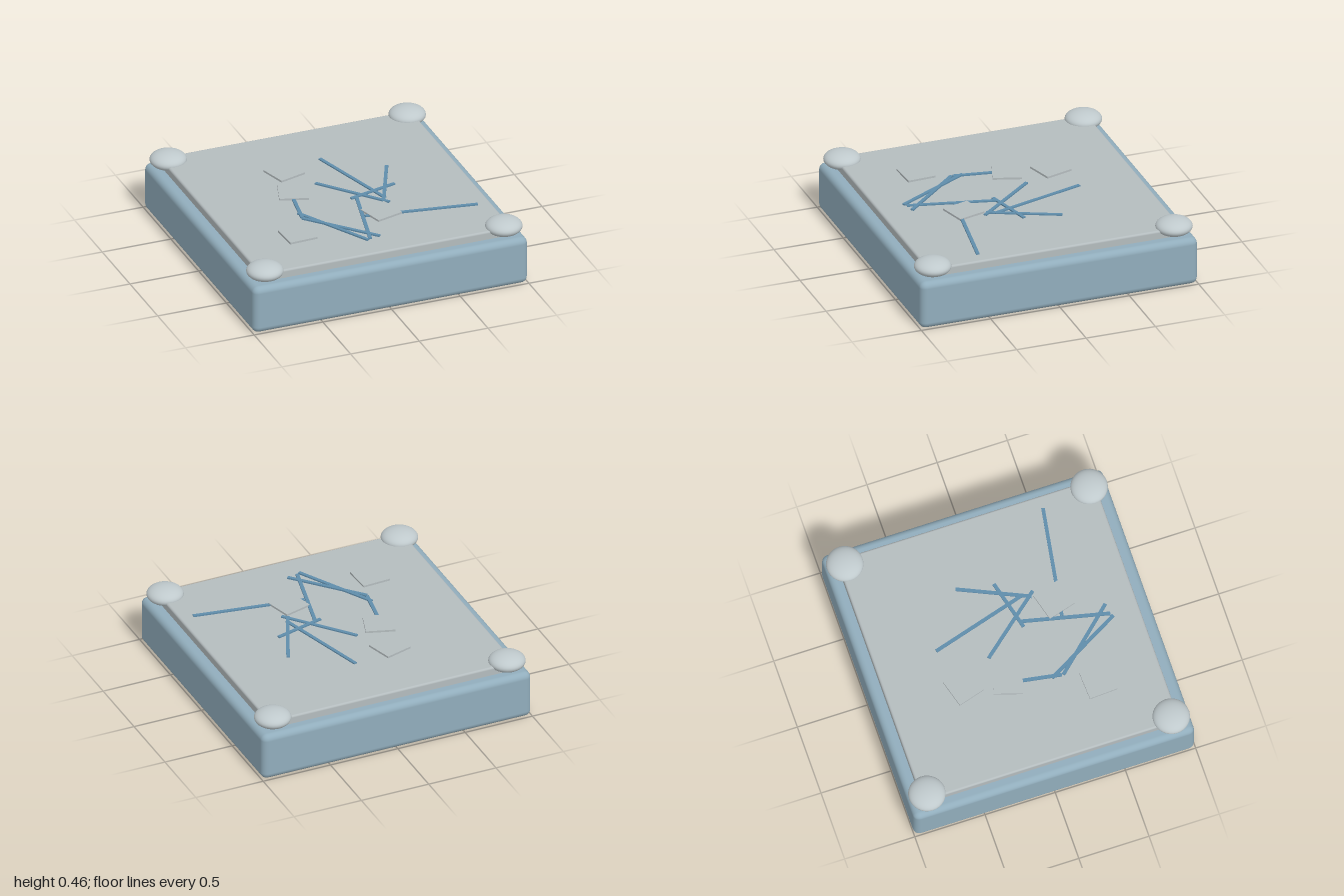
import * as THREE from 'three';
import { RoundedBoxGeometry } from 'three/addons/geometries/RoundedBoxGeometry.js';

function material(name, color) {
  const m = new THREE.MeshStandardMaterial({ color });
  m.name = name;
  return m;
}

export function createModel() {
  const model = new THREE.Group();
  const blueGrey = material('blueGrey', 0x91adbc);
  const paleGrey = material('paleGrey', 0xb4bcbe);
  const knobGrey = material('knobGrey', 0xbfc9cc);
  const stickBlue = material('stickBlue', 0x5f8dab);

  const add = (name, geometry, mat, x, y, z, turn = 0) => {
    const mesh = new THREE.Mesh(geometry, mat);
    mesh.name = name;
    mesh.position.set(x, y, z);
    mesh.rotation.y = turn;
    model.add(mesh);
    return mesh;
  };

  // Thick base with softened edges and the inset top slab
  add('base', new RoundedBoxGeometry(2, 0.345, 2, 3, 0.045), blueGrey, 0, 0.1725, 0);
  add('topSlab', new RoundedBoxGeometry(1.83, 0.08, 1.83, 2, 0.015), paleGrey, 0, 0.364, 0);

  // Flattened corner knobs
  const knob = new THREE.SphereGeometry(0.127, 32, 20);
  for (const x of [-0.87, 0.87]) {
    for (const z of [-0.87, 0.87]) {
      add('cornerKnob', knob, knobGrey, x, 0.404, z).scale.y = 0.47;
    }
  }

  // Thin scattered sticks: start x, z and end x, z
  const sticks = [
    [0.078, -0.485, 0.275, 0.2],
    [0.457, -0.22, 0.245, 0.25],
    [-0.083, -0.166, 0.28, 0.27],
    [0.056, 0.13, 0.41, 0.037],
    [0.1, 0.115, -0.04, 0.715],
    [0.05, 0.4, 0.82, 0.525],
    [-0.305, -0.02, -0.353, 0.265],
    [-0.355, 0.195, -0.06, 0.73],
    [-0.355, 0.275, 0.035, 0.705],
  ];
  sticks.forEach(([x1, z1, x2, z2], i) => {
    const length = Math.hypot(x2 - x1, z2 - z1);
    const turn = Math.atan2(z1 - z2, x2 - x1);
    add('stick', new THREE.BoxGeometry(length, 0.012, 0.024), stickBlue,
      (x1 + x2) / 2, 0.4065 + i * 0.0002, (z1 + z2) / 2, turn);
  });

  // Flat square tiles: x, z and turn
  const tile = new THREE.BoxGeometry(0.2, 0.016, 0.2);
  const tiles = [
    [-0.22, -0.39, 0.28],
    [-0.275, -0.093, -0.31],
    [-0.475, 0.484, 0.05],
    [0.174, 0.385, 0.27],
  ];
  for (const [x, z, turn] of tiles) add('tile', tile, paleGrey, x, 0.41, z, turn);

  return model;
}
